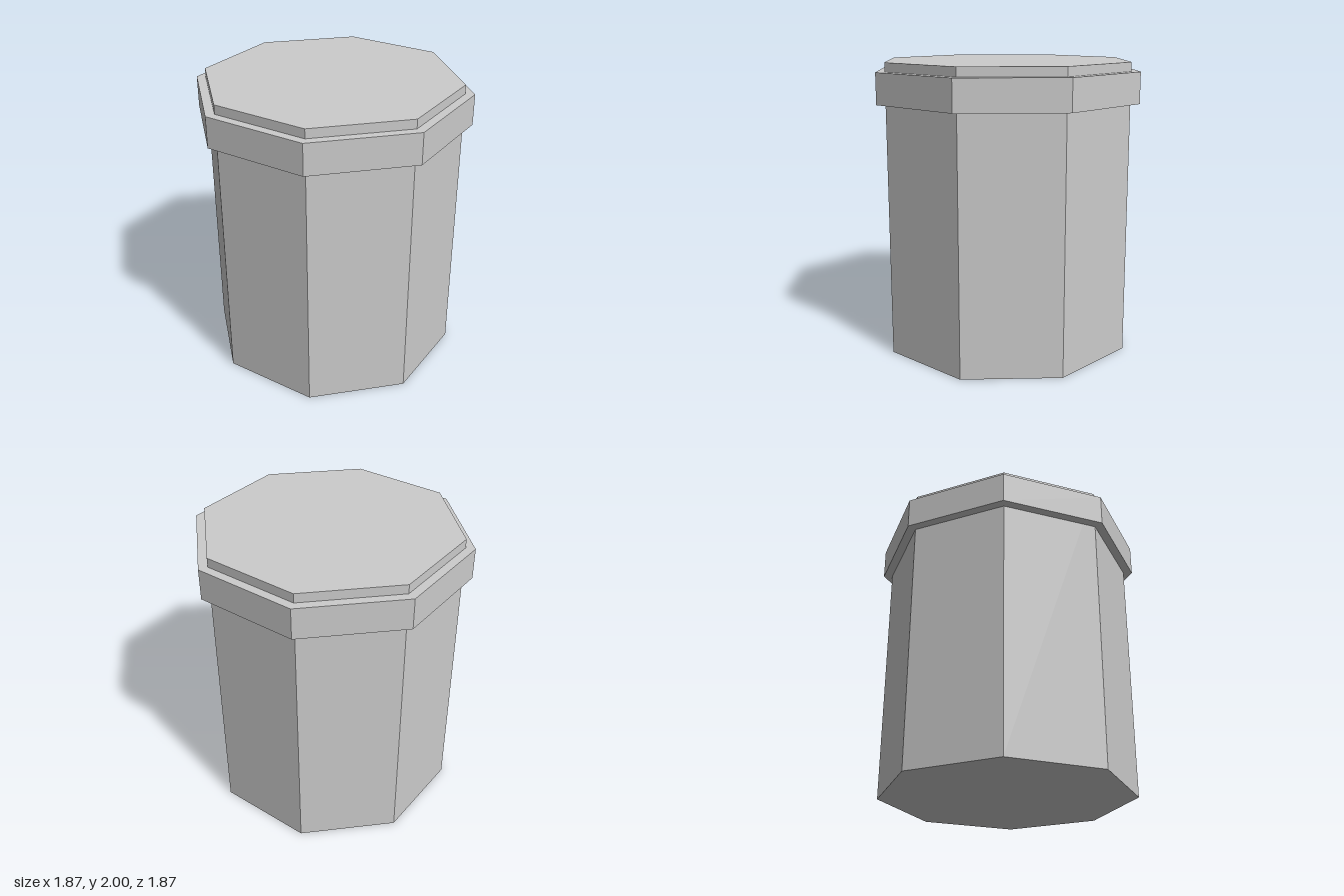
import * as THREE from 'three';

const SIDES = 8;

// Upright octagonal prism with corners on the x and z axes
function prism(name, radius, bottom, top, material) {
  const geometry = new THREE.CylinderGeometry(radius, radius, top - bottom, SIDES);
  const mesh = new THREE.Mesh(geometry, material);
  mesh.name = name;
  mesh.position.y = (bottom + top) / 2;
  return mesh;
}

export function createModel() {
  const group = new THREE.Group();
  group.name = 'octagonalCanister';
  const material = new THREE.MeshStandardMaterial({ color: 0xcccccc, flatShading: true });

  // Tall body, closed at both ends
  group.add(prism('body', 0.872, 0, 2, material));

  // Wider band just below the top
  group.add(prism('rimBand', 0.935, 1.727, 1.938, material));

  return group;
}
